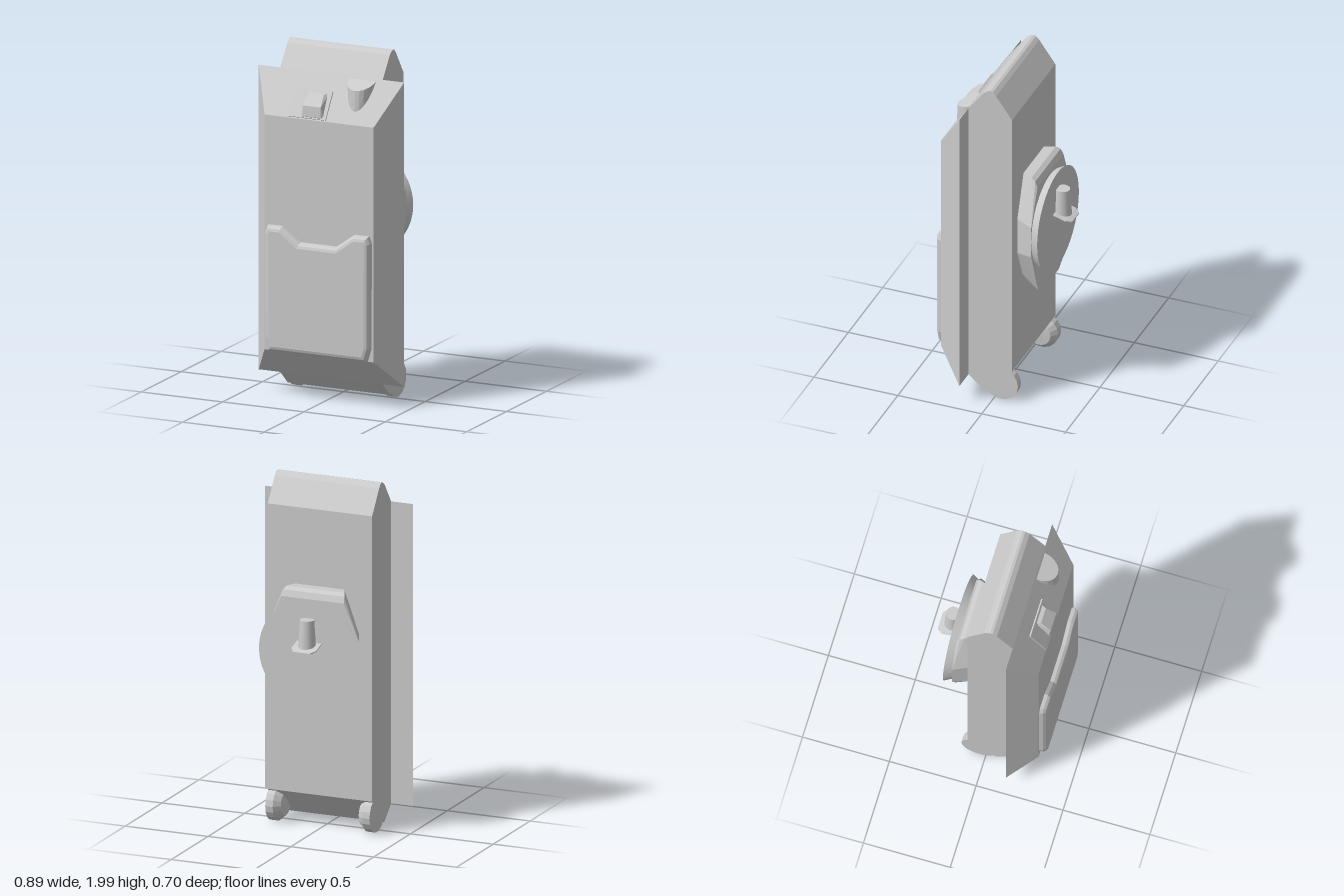
import * as THREE from 'three';
import { ConvexGeometry } from 'three/addons/geometries/ConvexGeometry.js';

const flat = new THREE.MeshStandardMaterial({ color: 0xcccccc, flatShading: true });
const smooth = new THREE.MeshStandardMaterial({ color: 0xcccccc });

function shapeOf(points) {
  return new THREE.Shape(points.map(([a, b]) => new THREE.Vector2(a, b)));
}

// Convex solid from right-hand points, mirrored across x = 0
function mirroredHull(points) {
  const all = points.flatMap(([x, y, z]) => [new THREE.Vector3(x, y, z), new THREE.Vector3(-x, y, z)]);
  return new ConvexGeometry(all);
}

export function createModel() {
  const model = new THREE.Group();
  model.name = 'handheldDevice';
  const add = (name, geometry, material = flat) => {
    const mesh = new THREE.Mesh(geometry, material);
    mesh.name = name;
    model.add(mesh);
    return mesh;
  };

  // Core: side profile (z, y) extruded across the width
  const core = new THREE.ExtrudeGeometry(shapeOf([
    [-0.105, 0.2], [0.06, 0.04], [0.155, 0.122], [0.17, 0.14], [0.17, 1.833], [0.155, 1.856],
    [0.065, 1.978], [0.04, 1.997], [0.025, 2], [0.01, 1.995], [-0.01, 1.975], [-0.105, 1.84],
  ]), { depth: 0.63, bevelEnabled: false });
  core.rotateY(-Math.PI / 2).translate(0.315, 0, 0);
  add('coreBody', core);

  // Flared front shell
  add('frontShell', mirroredHull([
    [0.447, 0.122, 0.155], [0.447, 1.857, 0.155], [0.335, 0.285, 0.31], [0.335, 1.622, 0.31],
  ]));

  // Lower front cover with a notched top edge
  const half = [[0.3, 0.285], [0.322, 0.36], [0.325, 0.96], [0.31, 1.0], [0.22, 1.0], [0.185, 0.975], [0.11, 0.92]];
  const outline = [...half, ...half.map(([x, y]) => [-x, y]).reverse()];
  const cover = new THREE.ExtrudeGeometry(shapeOf(outline), {
    depth: 0.04, bevelThickness: 0.04, bevelSize: 0.03, bevelOffset: -0.03, bevelSegments: 3,
  });
  cover.translate(0, 0, 0.27);
  add('frontCover', cover);

  // Push button on its thin plate, lying on the upper slope
  const plate = add('buttonPlate', new THREE.BoxGeometry(0.23, 0.17, 0.014));
  plate.position.set(-0.075, 1.699, 0.261);
  plate.rotation.x = -Math.atan2(0.155, 0.24);
  const button = add('pushButton', mirroredHull([
    [0.062, 1.765, 0.21], [0.07, 1.63, 0.3], [0.045, 1.757, 0.252],
    [0.055, 1.7, 0.31], [0.055, 1.64, 0.313],
  ]));
  button.position.x = -0.045;

  // D-shaped knob with a slightly sloping top
  const knobPoints = [];
  for (let i = 0; i <= 10; i++) {
    const a = (i / 10) * Math.PI;
    const x = Math.cos(a), z = Math.sin(a);
    knobPoints.push(new THREE.Vector3(0.197 + 0.081 * x, 1.845 - 0.04 * z, 0.163 + 0.1 * z));
    knobPoints.push(new THREE.Vector3(0.197 + 0.07 * x, 1.67, 0.163 + 0.105 * z));
  }
  add('knob', new ConvexGeometry(knobPoints));

  // Bevelled rounded feet at the lower back corners
  for (const side of [1, -1]) {
    const foot = new THREE.LatheGeometry([
      [0, 0.23], [0.07, 0.235], [0.102, 0.27], [0.102, 0.315], [0, 0.315],
    ].map(([r, h]) => new THREE.Vector2(r, h)), 18);
    foot.rotateZ(-Math.PI / 2);
    const mesh = add(side > 0 ? 'leftFoot' : 'rightFoot', foot);
    mesh.position.set(0, 0.11, -0.038);
    if (side < 0) mesh.rotation.y = Math.PI;
    if (side < 0) mesh.position.z = -0.038;
  }

  // Back mount: elongated block that widens away from the body
  add('backMount', mirroredHull([
    [0.145, 1.4, -0.1], [0.235, 1.15, -0.1], [0.235, 0.93, -0.1], [0.165, 0.76, -0.1], [0.105, 0.68, -0.1],
    [0.175, 1.4, -0.165], [0.185, 1.385, -0.19], [0.19, 1.35, -0.205],
    [0.28, 1.14, -0.205], [0.28, 0.95, -0.205], [0.205, 0.74, -0.205], [0.18, 0.68, -0.205], [0.125, 0.64, -0.205],
  ]));

  // Round disc flaring toward the back
  const disc = new THREE.CylinderGeometry(0.275, 0.304, 0.055, 40);
  disc.rotateX(Math.PI / 2).translate(0, 1.05, -0.2225);
  add('backDisc', disc, smooth);

  // Hanging peg and its tilted lip
  const peg = new THREE.CylinderGeometry(0.04, 0.05, 0.16, 20);
  peg.translate(0, 1.175, -0.28);
  add('peg', peg, smooth);
  const lip = [[0.075, 1.12, -0.245], [0.075, 1.097, -0.325], [0.05, 1.085, -0.355]];
  add('pegLip', mirroredHull([...lip, ...lip.map(([x, y, z]) => [x, y - 0.006, z])]));

  return model;
}
